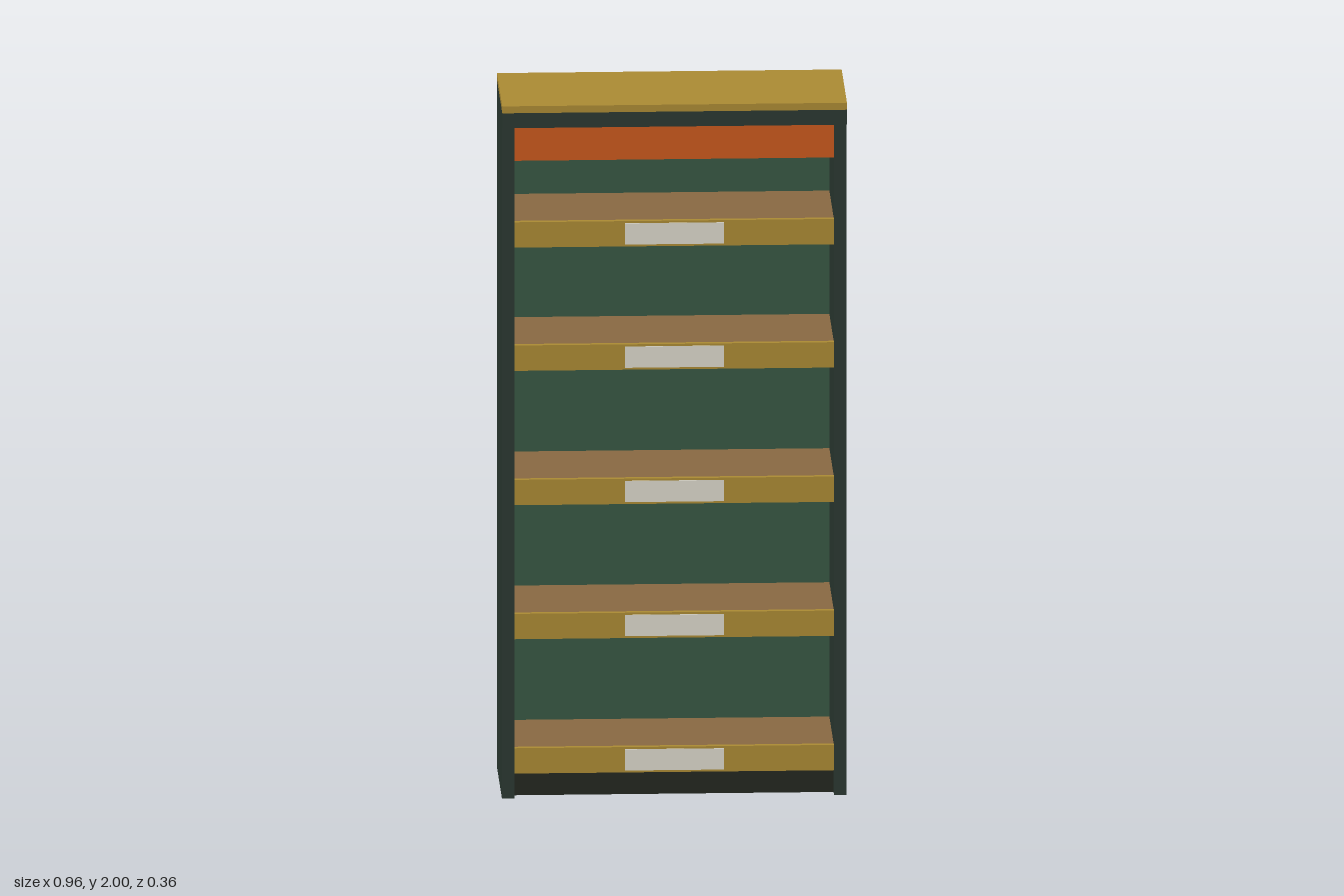
import * as THREE from 'three';

const mat = (color) => new THREE.MeshStandardMaterial({ color });

export function createModel() {
  const model = new THREE.Group();
  const frame = mat(0x2a3831);
  const green = mat(0x385843);
  const gold = mat(0xad8c34);
  const tan = mat(0x8a6a43);
  const orange = mat(0xcc5a1c);
  const plinth = mat(0x22261f);
  const paper = mat(0xdedacd);

  // Box given by its extents on each axis
  const box = (name, material, [x0, x1], [y0, y1], [z0, z1], parent = model) => {
    const mesh = new THREE.Mesh(new THREE.BoxGeometry(x1 - x0, y1 - y0, z1 - z0), material);
    mesh.position.set((x0 + x1) / 2, (y0 + y1) / 2, (z0 + z1) / 2);
    mesh.name = name;
    parent.add(mesh);
    return mesh;
  };

  // Carcass: sides, back and recessed plinth
  box('leftSide', frame, [0.445, 0.48], [0, 1.937], [-0.179, 0.156]);
  box('rightSide', frame, [-0.48, -0.445], [0, 1.937], [-0.179, 0.156]);
  box('backPanel', green, [-0.467, 0.467], [0.002, 1.937], [-0.18, -0.163]);
  box('plinth', plinth, [-0.445, 0.445], [0, 0.11], [-0.178, 0.122]);

  // Crown with its top board, and the header strip below
  box('crown', frame, [-0.48, 0.48], [1.937, 1.98], [-0.18, 0.18]);
  box('topBoard', gold, [-0.48, 0.48], [1.98, 2], [-0.18, 0.18]);
  box('headerStrip', orange, [-0.445, 0.445], [1.836, 1.937], [0.135, 0.154]);

  // Shelves, each with a front lip and a blank label plate
  [0.145, 0.532, 0.918, 1.305, 1.66].forEach((top, i) => {
    const shelf = new THREE.Group();
    shelf.name = `shelf${i + 1}`;
    shelf.position.y = top;
    box('shelfBoard', tan, [-0.445, 0.445], [-0.034, -0.004], [-0.163, 0.142], shelf);
    box('shelfLip', gold, [-0.445, 0.445], [-0.073, 0], [0.142, 0.158], shelf);
    box('labelPlate', paper, [-0.138, 0.138], [-0.067, -0.006], [0.156, 0.16], shelf);
    model.add(shelf);
  });

  return model;
}
